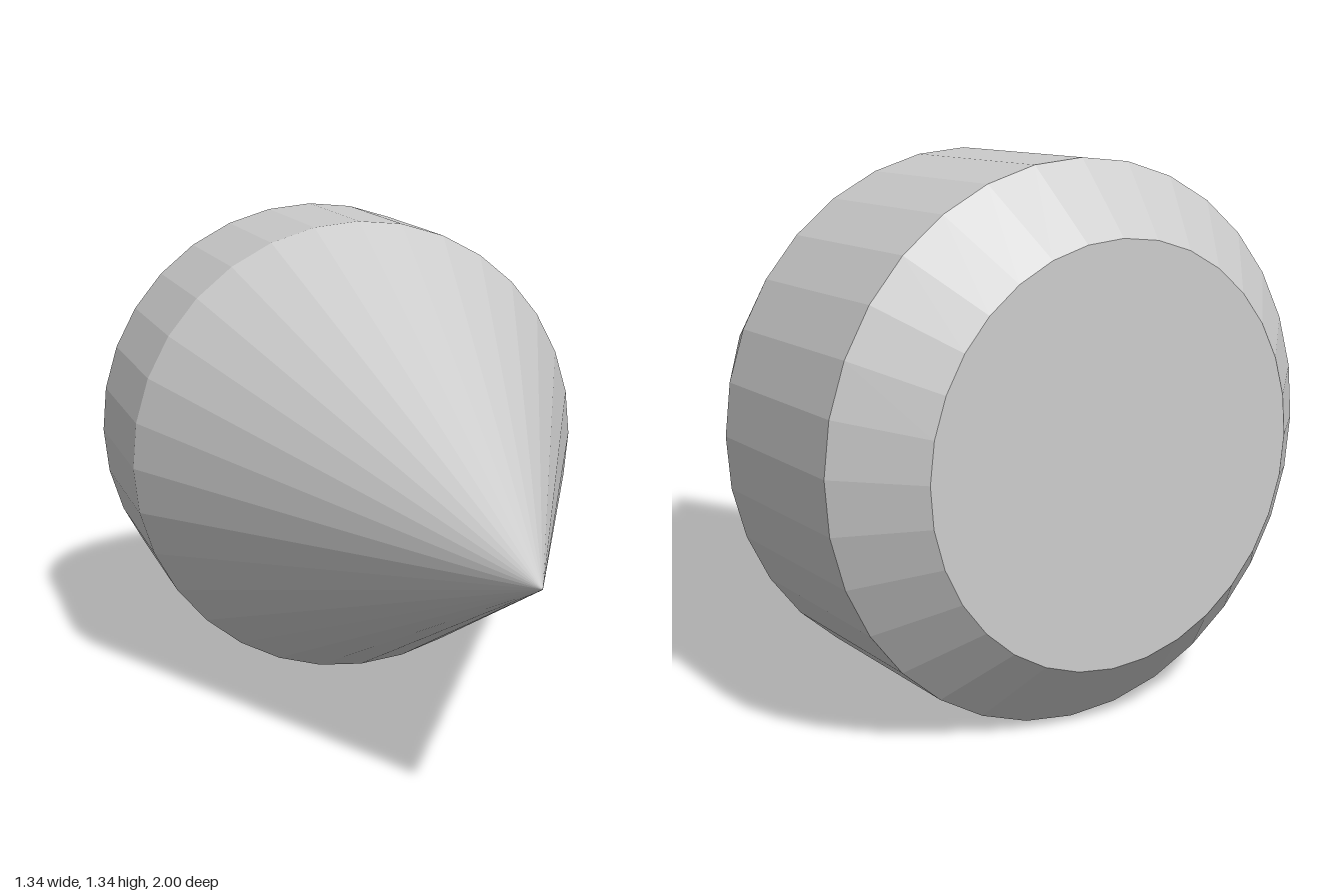
import * as THREE from 'three';

const SIDES = 32;
const RADIUS = 0.67;
const BACK_RADIUS = 0.5;

export function createModel() {
  const model = new THREE.Group();
  const material = new THREE.MeshStandardMaterial({ color: 0xcccccc, flatShading: true });

  // One faceted section along z, from its back end to its front end
  function addSection(name, backZ, frontZ, backRadius, frontRadius, open = true) {
    const length = frontZ - backZ;
    const geometry = new THREE.CylinderGeometry(frontRadius, backRadius, length, SIDES, 1, open);
    geometry.rotateX(Math.PI / 2);
    const mesh = new THREE.Mesh(geometry, material);
    mesh.name = name;
    mesh.position.set(0, RADIUS, (backZ + frontZ) / 2);
    model.add(mesh);
  }

  // Pointed nose, straight body, and tapered back closed by a flat disc
  addSection('noseCone', -0.34, 1, RADIUS, 0);
  addSection('body', -0.84, -0.34, RADIUS, RADIUS);
  addSection('backTaper', -1, -0.84, BACK_RADIUS, RADIUS, false);

  return model;
}
